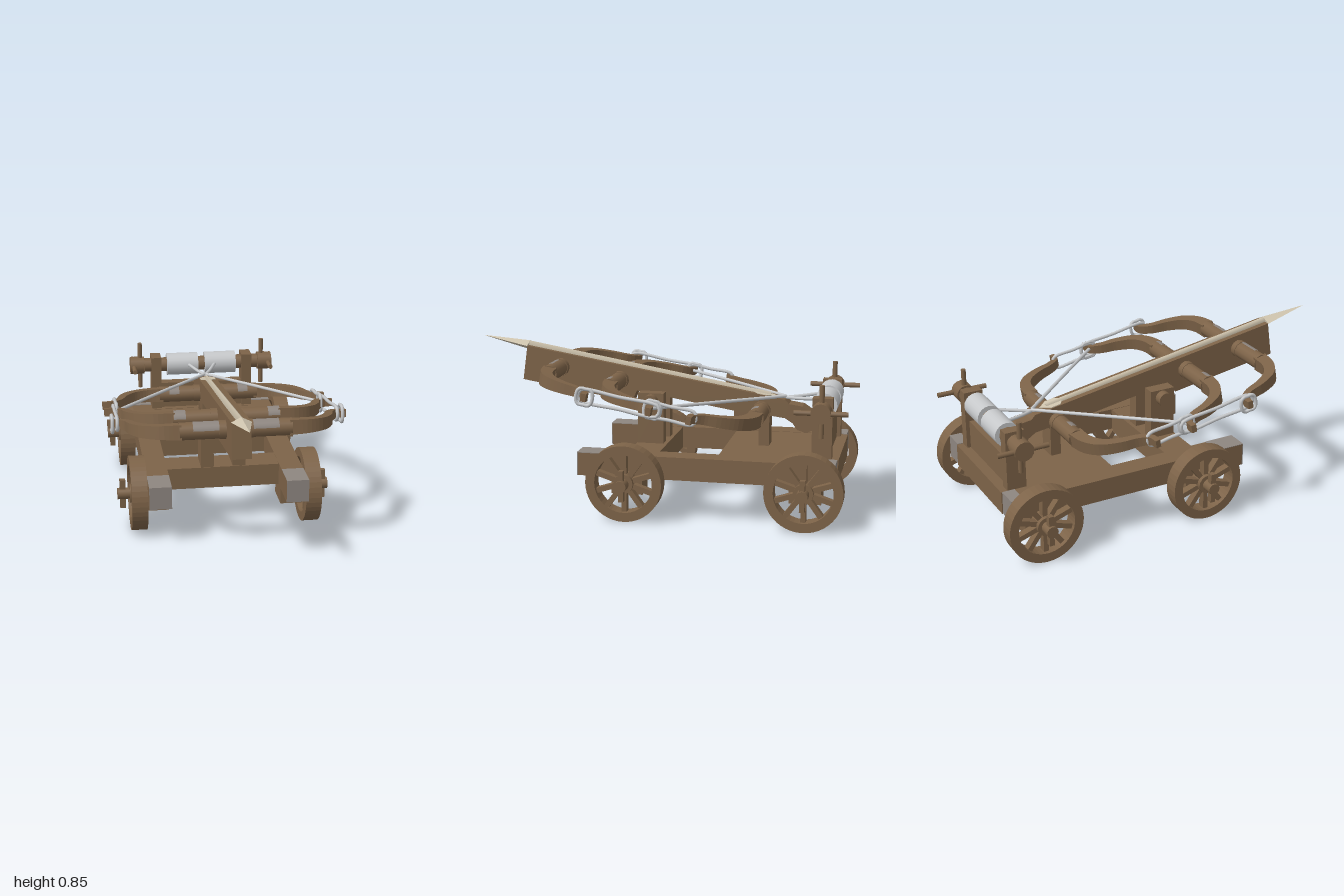
import * as THREE from 'three';

const mat = (name, color, extra = {}) => {
  const m = new THREE.MeshStandardMaterial({ color, ...extra });
  m.name = name;
  return m;
};

export function createModel() {
  const wood = mat('wood', 0x7d6348);
  const iron = mat('grey iron', 0x8e8680);
  const rope = mat('pale rope', 0xc6c8ca);
  const bone = mat('pale bolt', 0xcfc4ae);
  const model = new THREE.Group();
  model.name = 'fieldBallista';

  const add = (parent, name, geo, material, x = 0, y = 0, z = 0) => {
    const m = new THREE.Mesh(geo, material);
    m.name = name;
    m.position.set(x, y, z);
    parent.add(m);
    return m;
  };
  // box given by its min and max corners
  const box = (name, x0, x1, y0, y1, z0, z1, material = wood, parent = model) =>
    add(parent, name, new THREE.BoxGeometry(x1 - x0, y1 - y0, z1 - z0), material,
      (x0 + x1) / 2, (y0 + y1) / 2, (z0 + z1) / 2);
  const mirrorBox = (name, x0, x1, ...rest) => {
    box(name, x0, x1, ...rest);
    box(name, -x1, -x0, ...rest);
  };
  // cylinder lying along x
  const bar = (parent, name, r, x0, x1, y, z, material = wood, seg = 16) =>
    add(parent, name, new THREE.CylinderGeometry(r, r, x1 - x0, seg).rotateZ(Math.PI / 2), material, (x0 + x1) / 2, y, z);
  // rope through points
  const cord = (parent, name, pts, r, closed = false) => {
    const curve = new THREE.CatmullRomCurve3(pts.map(p => new THREE.Vector3(...p)), closed, 'centripetal');
    return add(parent, name, new THREE.TubeGeometry(curve, pts.length * 4, r, 8, closed), rope);
  };
  // side profile in (z, y), extruded across x
  const profile = (name, pts, halfWidth) => {
    const shape = new THREE.Shape(pts.map(p => new THREE.Vector2(...p)));
    const geo = new THREE.ExtrudeGeometry(shape, { depth: halfWidth * 2, bevelEnabled: false });
    geo.translate(0, 0, -halfWidth).rotateY(-Math.PI / 2);
    return add(model, name, geo, wood);
  };

  // carriage
  mirrorBox('sideRail', 0.295, 0.41, 0.21, 0.327, -0.94, 0.355);
  mirrorBox('axleBlock', 0.295, 0.41, 0.125, 0.21, 0.02, 0.18);
  mirrorBox('axleBlock', 0.295, 0.41, 0.125, 0.21, -0.88, -0.72);
  mirrorBox('railFrontPlate', 0.295, 0.41, 0.21, 0.327, 0.355, 0.36, iron);
  mirrorBox('railTopPlate', 0.295, 0.41, 0.327, 0.33, 0.2, 0.36, iron);
  mirrorBox('railRearPlate', 0.295, 0.41, 0.21, 0.327, -0.945, -0.94, iron);
  mirrorBox('railRearTopPlate', 0.295, 0.41, 0.327, 0.33, -0.945, -0.88, iron);
  box('frontCrossBeam', -0.295, 0.295, 0.21, 0.325, -0.115, 0.045).position.z = 0.035;
  box('rearDeck', -0.295, 0.295, 0.213, 0.325, -0.8, -0.35);
  box('rearCrossBeam', -0.295, 0.295, 0.21, 0.327, -0.95, -0.8);

  // wheels with spokes, hub and linch pin
  const rimShape = new THREE.Shape().absarc(0, 0, 0.195, 0, Math.PI * 2, false);
  rimShape.holes.push(new THREE.Path().absarc(0, 0, 0.148, 0, Math.PI * 2, true));
  const rim = new THREE.ExtrudeGeometry(rimShape, { depth: 0.082, bevelEnabled: false, curveSegments: 22 });
  rim.translate(0, 0, -0.041).rotateY(Math.PI / 2);
  for (const side of [1, -1]) for (const z of [0.1, -0.8]) {
    const wheel = new THREE.Group();
    wheel.name = 'wheel';
    wheel.position.set(side * 0.452, 0.197, z);
    model.add(wheel);
    add(wheel, 'rim', rim, wood);
    bar(wheel, 'hub', 0.05, -0.041, 0.041, 0, 0);
    for (let i = 0; i < 10; i++) {
      const a = i * Math.PI / 5;
      const spoke = add(wheel, 'spoke', new THREE.BoxGeometry(0.04, 0.12, 0.026), wood, 0, Math.cos(a) * 0.1, Math.sin(a) * 0.1);
      spoke.rotation.x = a;
    }
    const out = side * 0.07;
    bar(wheel, 'axleEnd', 0.03, out - 0.035, out + 0.035, 0, 0);
    add(wheel, 'linchPin', new THREE.BoxGeometry(0.03, 0.158, 0.026), wood, side * 0.078, 0, 0);
  }

  // pedestal with pivot, and rear prop
  mirrorBox('pedestalPost', 0.05, 0.117, 0.325, 0.59, -0.025, 0.11);
  bar(model, 'pivotPin', 0.038, -0.16, 0.16, 0.548, 0.04);
  box('rearProp', -0.05, 0.05, 0.325, 0.5, -0.57, -0.515);

  // winch
  mirrorBox('winchPost', 0.235, 0.292, 0.327, 0.635, -0.915, -0.815);
  box('winchPanel', -0.235, 0.235, 0.327, 0.475, -0.895, -0.835);
  bar(model, 'winchShaft', 0.04, -0.33, 0.33, 0.58, -0.867);
  for (const s of [1, -1]) {
    bar(model, 'ropeDrum', 0.063, s * 0.11 - 0.09, s * 0.11 + 0.09, 0.58, -0.867, rope, 20);
    bar(model, 'winchHead', 0.05, s * 0.372 - 0.04, s * 0.372 + 0.04, 0.58, -0.867);
    const rod = new THREE.CylinderGeometry(0.013, 0.013, 0.265, 10);
    add(model, 'winchHandle', rod, wood, s * 0.355, 0.58, -0.867);
    add(model, 'winchHandle', rod, wood, s * 0.392, 0.58, -0.867).rotation.x = Math.PI / 2;
  }

  // stock with curved tail
  profile('stock', [[0.73, 0.805], [0.755, 0.625], [0.16, 0.527], [0.132, 0.588], [-0.385, 0.503],
    [-0.385, 0.455], [-0.55, 0.427], [-0.575, 0.485], [-0.65, 0.475], [-0.69, 0.45], [-0.715, 0.415],
    [-0.76, 0.402], [-0.8, 0.42], [-0.81, 0.465], [-0.785, 0.51], [-0.74, 0.54], [-0.67, 0.55], [-0.65, 0.572]], 0.048);

  // tilted bow assembly
  const tilt = new THREE.Group();
  tilt.name = 'bowAssembly';
  tilt.position.y = 0.605;
  tilt.rotation.x = -0.172;
  model.add(tilt);

  // tapering limb: rectangular sections along a curve in the xz plane
  const path = new THREE.CatmullRomCurve3([[0.26, 0], [0.36, -0.012], [0.435, -0.055], [0.485, -0.14],
    [0.51, -0.225], [0.55, -0.275], [0.605, -0.28]].map(([x, z]) => new THREE.Vector3(x, 0, z)));
  const pos = [], idx = [], steps = 24;
  for (let i = 0; i <= steps; i++) {
    const t = i / steps, p = path.getPointAt(t), d = path.getTangentAt(t);
    const w = 0.035 - 0.022 * t, h = 0.037 - 0.017 * t;
    for (const [a, b] of [[1, 1], [1, -1], [-1, -1], [-1, 1]])
      pos.push(p.x - d.z * w * a, h * b, p.z + d.x * w * a);
    for (let k = 0; k < 4 && i < steps; k++) {
      const a = i * 4 + k, b = i * 4 + (k + 1) % 4;
      idx.push(a, b, a + 4, b, b + 4, a + 4);
    }
  }
  const e = steps * 4;
  idx.push(0, 2, 1, 0, 3, 2, e, e + 1, e + 2, e, e + 2, e + 3);
  let limbGeo = new THREE.BufferGeometry();
  limbGeo.setAttribute('position', new THREE.Float32BufferAttribute(pos, 3));
  limbGeo.setIndex(idx);
  limbGeo = limbGeo.toNonIndexed();
  limbGeo.computeVertexNormals();
  const limbWood = mat('limb wood', 0x7d6348, { side: THREE.DoubleSide });

  // each bow: position, direction, extent of worn grey patch
  for (const [name, z, turn, p0, p1] of [['frontBow', 0.553, 0, 0.08, 0.21], ['middleBow', 0.225, 0, 0.21, 0.27],
    ['rearBow', -0.537, Math.PI, 0.165, 0.22]]) {
    const bow = new THREE.Group();
    bow.name = name;
    bow.position.z = z;
    bow.rotation.x = turn;
    tilt.add(bow);
    for (const s of [1, -1]) {
      const limb = add(bow, 'limb', limbGeo, limbWood);
      limb.rotation.z = s > 0 ? 0 : Math.PI;
      bar(bow, 'sleeve', 0.044, s * 0.16 - 0.115, s * 0.16 + 0.115, 0, 0, wood, 12);
      bar(bow, 'sleeveCollar', 0.047, s * 0.065 - 0.018, s * 0.065 + 0.018, 0, 0, wood, 12);
      const patch = new THREE.CylinderGeometry(0.0455, 0.0455, p1 - p0, 5, 1, true, -0.2, 1.4).rotateZ(Math.PI / 2);
      const worn = add(tilt, 'sleevePatch', patch, iron, s * (p0 + p1) / 2, 0, z);
      worn.rotation.x = -0.3;
    }
  }

  // rope loops joining the bow tips
  const loop = (name, x, z0, z1, h) => cord(tilt, name, [[x, h, z0 + 0.015], [x, h, (z0 + z1) / 2], [x, h, z1 - 0.015],
    [x, h - 0.015, z1], [x, 0.015 - h, z1], [x, -h, z1 - 0.015], [x, -h, (z0 + z1) / 2], [x, -h, z0 + 0.015],
    [x, 0.015 - h, z0], [x, h - 0.015, z0]], 0.009, true);
  for (const s of [1, -1]) {
    loop('longTipLoop', s * 0.557, -0.1, 0.31, 0.03);
    loop('shortTipLoop', s * 0.541, -0.28, -0.025, 0.034);
    loop('tipBinding', s * 0.582, 0.235, 0.312, 0.04);
    loop('tipBinding', s * 0.541, -0.1, -0.025, 0.043);
    // bowstring and draw rope
    cord(model, 'bowString', [[s * 0.535, 0.6, -0.06], [s * 0.27, 0.592, -0.355], [0, 0.582, -0.65]], 0.009);
    cord(model, 'drawRope', [[-s * 0.01, 0.575, -0.63], [s * 0.035, 0.58, -0.72], [s * 0.078, 0.59, -0.82]], 0.009);
  }

  // bolt
  const shaft = new THREE.CylinderGeometry(0.02, 0.02, 1.33, 4).rotateX(Math.PI / 2);
  add(tilt, 'boltShaft', shaft, bone, 0, 0.074, 0.1);
  const head = new THREE.ConeGeometry(1, 0.262, 4).rotateX(Math.PI / 2).scale(0.05, 0.024, 1);
  add(tilt, 'boltHead', head.toNonIndexed(), bone, 0, 0.071, 0.886).geometry.computeVertexNormals();
  const vane = new THREE.Shape([[0, -0.47], [0.042, -0.5], [0.042, -0.55], [0, -0.6], [-0.042, -0.55], [-0.042, -0.5]]
    .map(([x, z]) => new THREE.Vector2(x, -z)));
  const vaneGeo = new THREE.ExtrudeGeometry(vane, { depth: 0.008, bevelEnabled: false }).rotateX(-Math.PI / 2);
  add(tilt, 'boltVanes', vaneGeo, bone, 0, 0.074, 0);

  return model;
}
